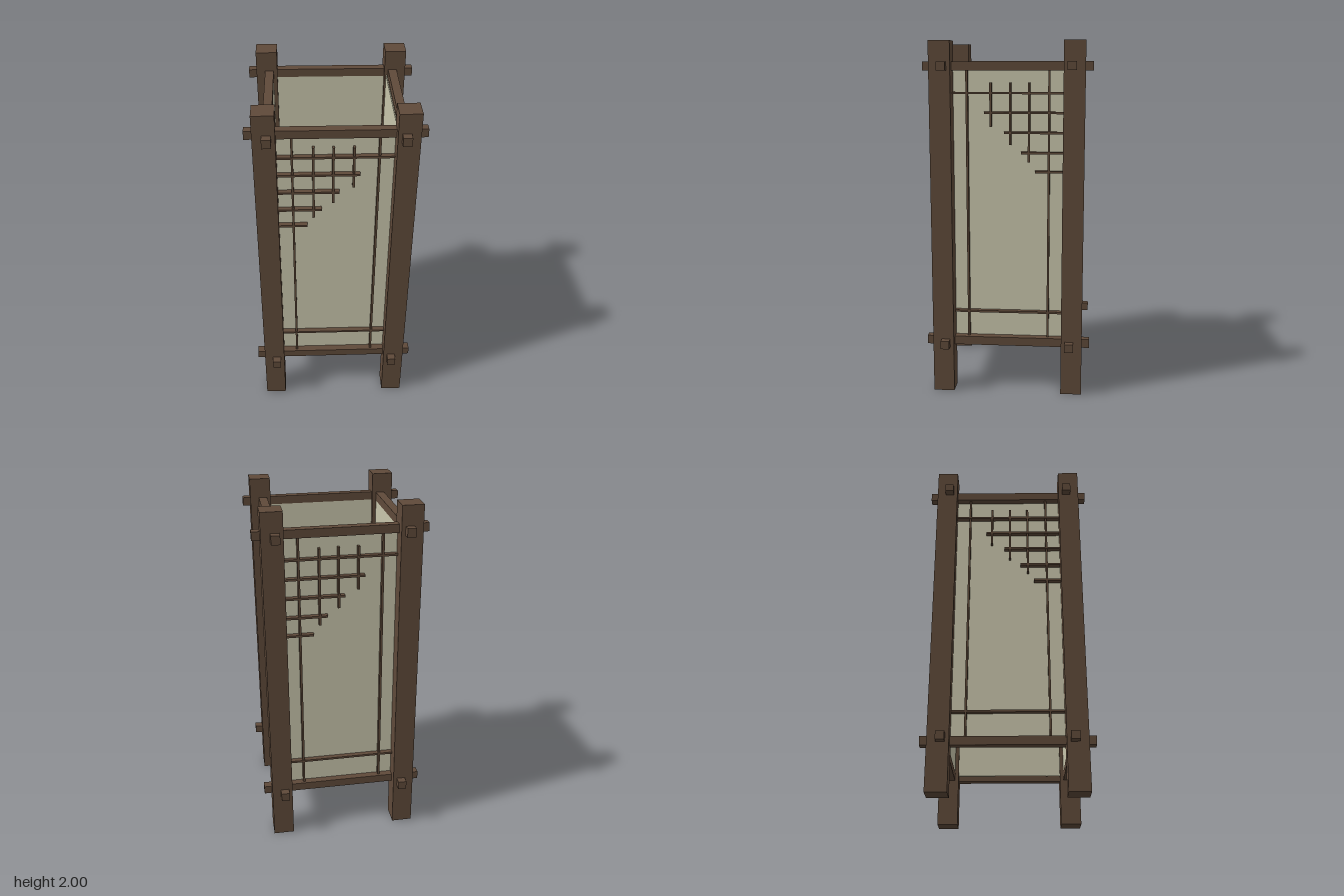
import * as THREE from 'three';

export function createModel() {
  const wood = new THREE.MeshStandardMaterial({ color: 0x5f4a3a });
  wood.name = 'dark wood';
  const paper = new THREE.MeshStandardMaterial({ color: 0xc9c6ac });
  paper.name = 'rice paper';

  const box = (parent, name, mat, size, pos) => {
    const mesh = new THREE.Mesh(new THREE.BoxGeometry(...size), mat);
    mesh.name = name;
    mesh.position.set(...pos);
    parent.add(mesh);
    return mesh;
  };

  // Everything is built around mid height so the lantern can lean a little
  const lantern = new THREE.Group();
  lantern.name = 'lantern';

  // Four corner posts
  for (const x of [-0.366, 0.366])
    for (const z of [-0.366, 0.366])
      box(lantern, 'cornerPost', wood, [0.118, 1.992, 0.118], [x, 0, z]);

  // Rails pass through the posts and stick out as square pegs
  for (const y of [0.293 - 1, 1.86 - 1])
    for (const s of [-0.352, 0.352]) {
      box(lantern, 'crossRail', wood, [0.938, 0.047, 0.048], [0, y, s]);
      box(lantern, 'sideRail', wood, [0.048, 0.049, 0.936], [s, y, 0]);
    }

  // One paper screen with its lattice; side is the corner the lattice fills
  const addScreen = (name, angle, side, inset) => {
    const screen = new THREE.Group();
    screen.name = name;
    screen.rotation.y = angle;
    lantern.add(screen);
    const bar = 0.012, deep = 0.03, z = 0.349 - inset;
    const across = (u0, u1, y) => box(screen, 'latticeBar', wood,
      [u1 - u0, bar, deep], [side * (u0 + u1) / 2, y - 1, z]);
    const upright = (u, y0, y1) => box(screen, 'latticeUpright', wood,
      [bar, y1 - y0, deep - 0.004], [side * u, (y0 + y1) / 2 - 1, z]);

    box(screen, 'paperPanel', paper, [0.64, 1.55, 0.006], [0, 0.075, 0.332 - inset]);

    // Border strips
    for (const u of [-0.228, 0.228]) upright(u, 0.3, 1.85);
    for (const y of [0.463, 1.713]) across(-0.32, 0.32, y);

    // Stepped corner lattice
    [[0.13, 1.605], [0.022, 1.495], [-0.073, 1.383], [-0.152, 1.277]]
      .forEach(([u, y]) => across(-0.32, u, y));
    [[-0.117, 1.332], [-0.012, 1.427], [0.096, 1.528]]
      .forEach(([u, y]) => upright(u, y, 1.77));
  };
  addScreen('frontScreen', 0, 1, 0);
  addScreen('backScreen', Math.PI, 1, 0);
  addScreen('leftScreen', Math.PI / 2, -1, 0.012);
  addScreen('rightScreen', -Math.PI / 2, -1, 0);

  // Slight handmade twist and lean
  lantern.rotation.set(0, 0.0137, -0.0075);
  lantern.position.set(0, 1, -0.003);

  const model = new THREE.Group();
  model.name = 'paperLantern';
  model.add(lantern);
  return model;
}
